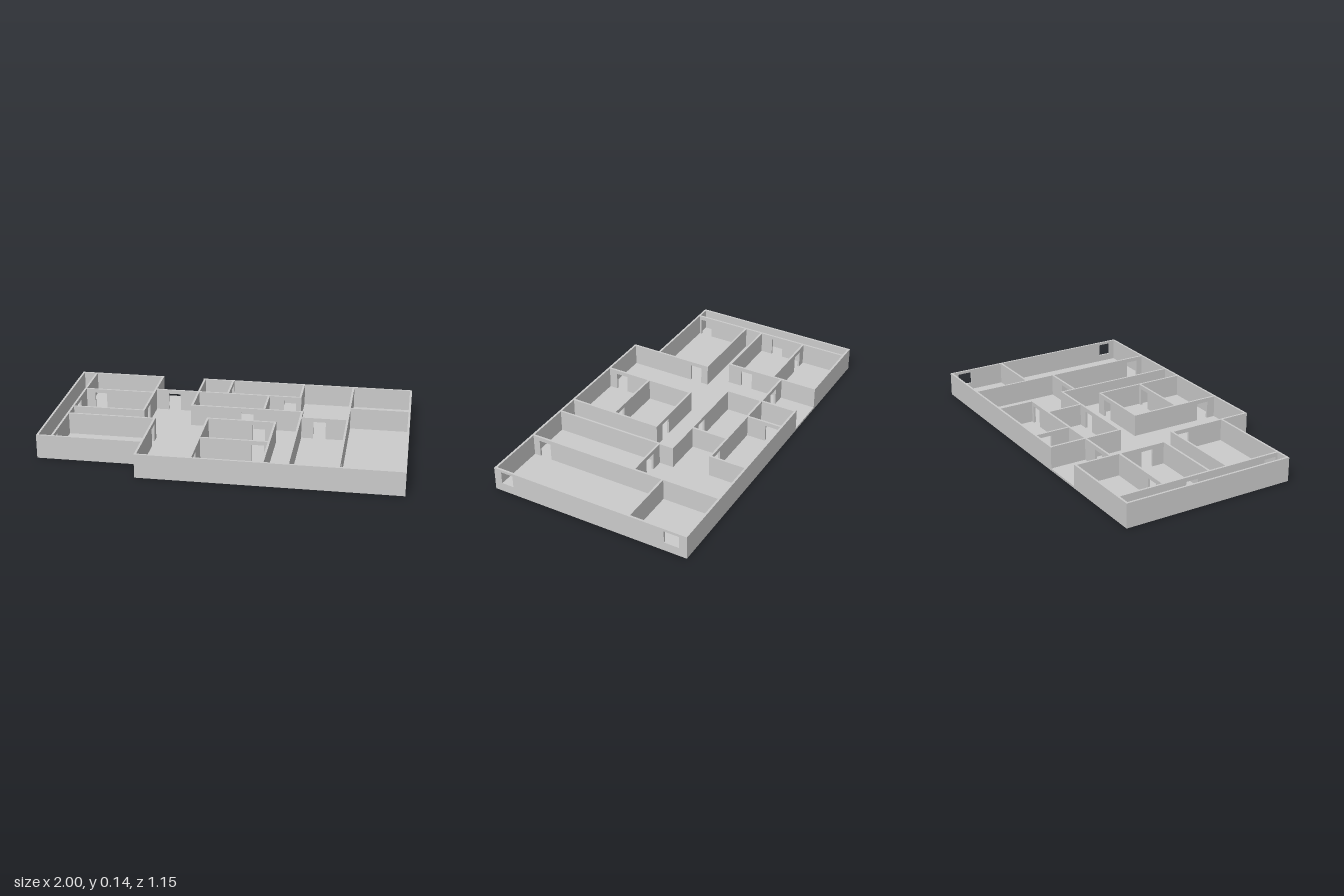
import * as THREE from 'three';

const H = 0.135, FLOOR = 0.012, T = 0.012;
const DOOR = 0.035, DOOR_TOP = 0.112;

export function createModel() {
  const model = new THREE.Group();
  const material = new THREE.MeshStandardMaterial({ color: 0xcccccc, flatShading: true });

  // L-shaped floor slab
  const outline = [[-1, -0.575], [1, -0.575], [1, 0.575], [-0.42, 0.575], [-0.42, 0.41], [-1, 0.41]];
  const shape = new THREE.Shape(outline.map(([x, z]) => new THREE.Vector2(x, -z)));
  const slab = new THREE.ExtrudeGeometry(shape, { depth: FLOOR, bevelEnabled: false });
  slab.rotateX(-Math.PI / 2);
  const floor = new THREE.Mesh(slab, material);
  floor.name = 'floor';
  model.add(floor);

  // A wall along 'x' or 'z' at a fixed offset; openings are [start, end, bottom, top]
  function wall(name, axis, at, from, to, openings = []) {
    const group = new THREE.Group();
    group.name = name;
    const piece = (a, b, y0, y1) => {
      if (b - a < 1e-4 || y1 - y0 < 1e-4) return;
      const long = axis === 'x';
      const mesh = new THREE.Mesh(new THREE.BoxGeometry(long ? b - a : T, y1 - y0, long ? T : b - a), material);
      mesh.position.set(long ? (a + b) / 2 : at, (y0 + y1) / 2, long ? at : (a + b) / 2);
      mesh.name = name + 'Panel';
      group.add(mesh);
    };
    let start = from - T / 2;
    for (const [a, b, low, high] of openings) {
      piece(start, a, FLOOR, H);
      piece(a, b, FLOOR, low);
      piece(a, b, high, H);
      start = b;
    }
    piece(start, to + T / 2, FLOOR, H);
    model.add(group);
  }
  const door = (c) => [c - DOOR, c + DOOR, FLOOR, DOOR_TOP];
  const pane = (a, b) => [a, b, 0.05, 0.12];

  // Outer walls, with the entrance gap at the back
  const B = -0.569, F = 0.569, L = 0.994;
  wall('eastWall', 'z', L, B, F, [pane(-0.53, -0.445), pane(0.46, 0.532)]);
  wall('frontWall', 'x', F, -0.414, L);
  wall('recessSideWall', 'z', -0.414, 0.08, F, [door(0.15)]);
  wall('recessFrontWall', 'x', 0.404, -L, -0.414);
  wall('westWall', 'z', -L, B, 0.404);
  wall('backWallWest', 'x', B, -L, -0.5);
  wall('backWallEast', 'x', B, -0.245, L);

  // West rooms and gallery
  wall('galleryWall', 'z', -0.913, B, 0.404, [door(-0.14), door(0.35)]);
  wall('westRoomDivider', 'x', -0.308, -0.913, -0.5, [door(-0.82)]);
  wall('westRoomFront', 'x', -0.03, -0.913, -0.5);
  wall('westRoomSide', 'z', -0.5, B, -0.03, [door(-0.14)]);
  wall('cornerRoomBack', 'x', 0.078, -0.913, -0.414);

  // Entrance and back rooms
  wall('backCorridorWall', 'x', -0.36, -0.5, 0.36, [door(-0.385), door(0.3)]);
  wall('entranceWall', 'z', -0.242, B, -0.147);
  wall('backRoomDivider', 'z', -0.068, B, -0.36, [door(-0.51)]);
  wall('backRoomSide', 'z', 0.36, B, -0.36);
  wall('middleRoomSide', 'z', 0.175, -0.36, -0.147);
  wall('middleRoomFront', 'x', -0.147, -0.242, 0.392, [door(0.08)]);

  // Central block
  wall('centralWest', 'z', -0.12, 0.03, F, [door(0.48)]);
  wall('centralEast', 'z', 0.26, 0.03, F);
  wall('centralBack', 'x', 0.03, -0.12, 0.26, [door(0.17)]);
  wall('centralDivider', 'x', 0.3, -0.12, 0.26, [door(0.2)]);

  // East rooms
  wall('eastCorridorWall', 'z', 0.392, -0.147, F);
  wall('eastRoomBack', 'x', -0.065, 0.392, 0.655, [door(0.5)]);
  wall('eastRoomSide', 'z', 0.655, B, F, [door(0.49)]);
  wall('eastRoomDivider', 'x', -0.24, 0.655, L);

  return model;
}
